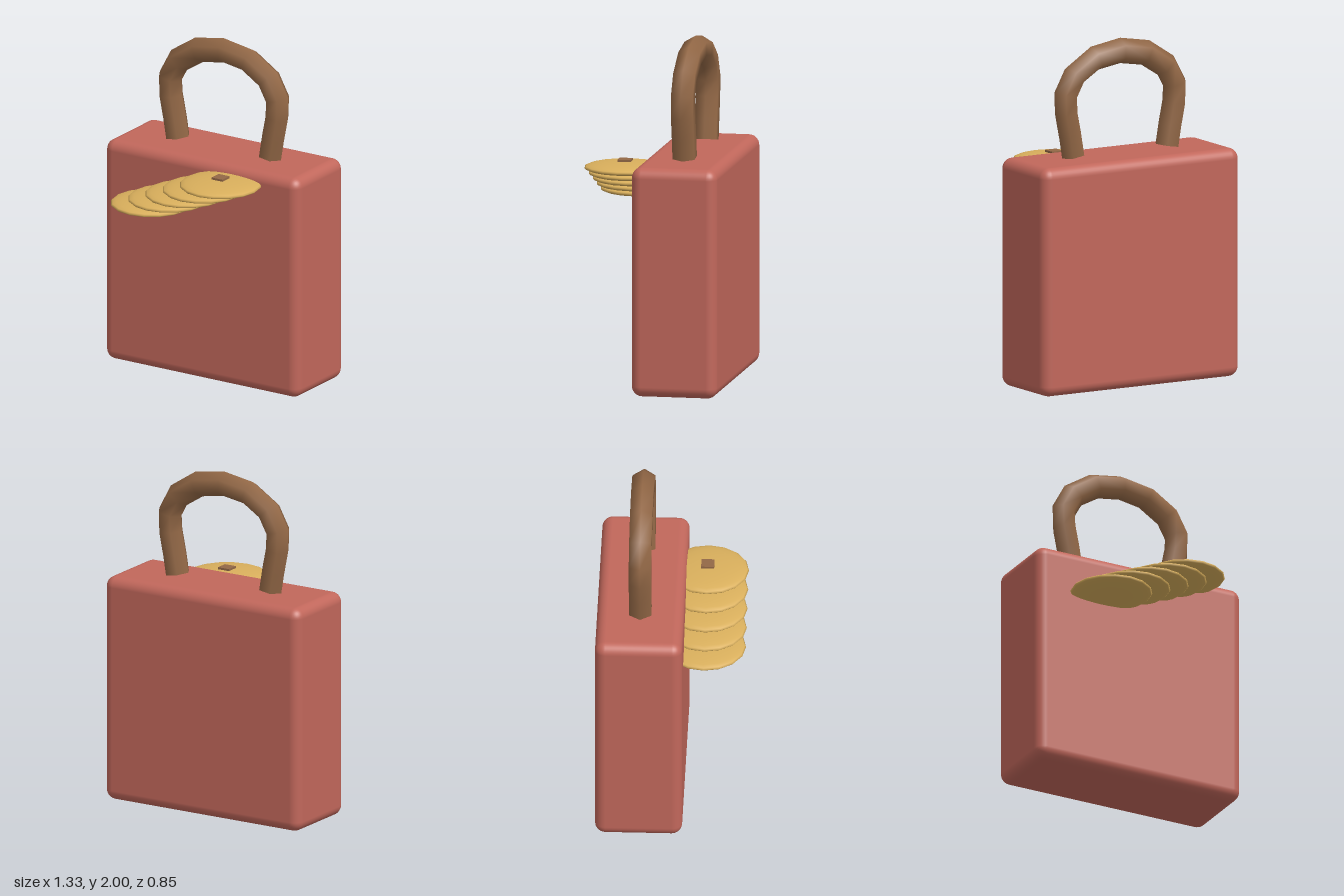
import * as THREE from 'three';
import { RoundedBoxGeometry } from 'three/addons/geometries/RoundedBoxGeometry.js';

const material = (name, color) => {
  const m = new THREE.MeshStandardMaterial({ color });
  m.name = name;
  return m;
};

// Flat arch whose rings sit exactly on its points, with hexagon corners in the arch's plane
class ArchCurve extends THREE.CatmullRomCurve3 {
  getUtoTmapping(u) { return u; }
  computeFrenetFrames(segments, closed) {
    const f = super.computeFrenetFrames(segments, closed);
    return { tangents: f.tangents, normals: f.binormals, binormals: f.normals.map((n) => n.clone().negate()) };
  }
}

export function createModel() {
  const red = material('red body', 0xc1675b);
  const brown = material('brown handle', 0x936846);
  const gold = material('gold discs', 0xd9af5c);
  const model = new THREE.Group();
  model.name = 'bag';

  const add = (name, geometry, mat, x, y, z) => {
    const mesh = new THREE.Mesh(geometry, mat);
    mesh.name = name;
    mesh.position.set(x, y, z);
    model.add(mesh);
    return mesh;
  };

  // Body
  const bodyZ = -0.178;
  add('body', new RoundedBoxGeometry(1.328, 1.33, 0.5, 4, 0.06), red, 0, 0.665, bodyZ);

  // Handle: half of the arch, mirrored
  const half = [[0.317, 1.345], [0.336, 1.46], [0.362, 1.59], [0.367, 1.7], [0.307, 1.81], [0.17, 1.898]];
  const points = [
    ...half.map(([x, y]) => new THREE.Vector3(-x, y, 0)),
    new THREE.Vector3(0, 1.926, 0),
    ...half.slice().reverse().map(([x, y]) => new THREE.Vector3(x, y, 0)),
  ];
  add('handle', new THREE.TubeGeometry(new ArchCurve(points), 12, 0.074, 6), brown, 0, 0, bodyZ);

  // Handle end caps
  for (const side of [-1, 1]) {
    const cap = add('handleEnd', new THREE.CircleGeometry(0.074, 6), brown, side * 0.317, 1.345, bodyZ);
    cap.rotation.x = Math.PI / 2;
  }

  // Overlapping row of flattened discs
  const discGeometry = new THREE.SphereGeometry(0.236, 16, 12).scale(1, 0.14, 1);
  for (let i = 0; i < 5; i++) {
    add('disc', discGeometry, gold, -0.255 + i * 0.118, 1.06 + i * 0.05, 0.19);
  }

  // Small square stud above the top disc
  add('stud', new THREE.BoxGeometry(0.075, 0.012, 0.075), brown, 0.217, 1.302, 0.19);

  return model;
}
